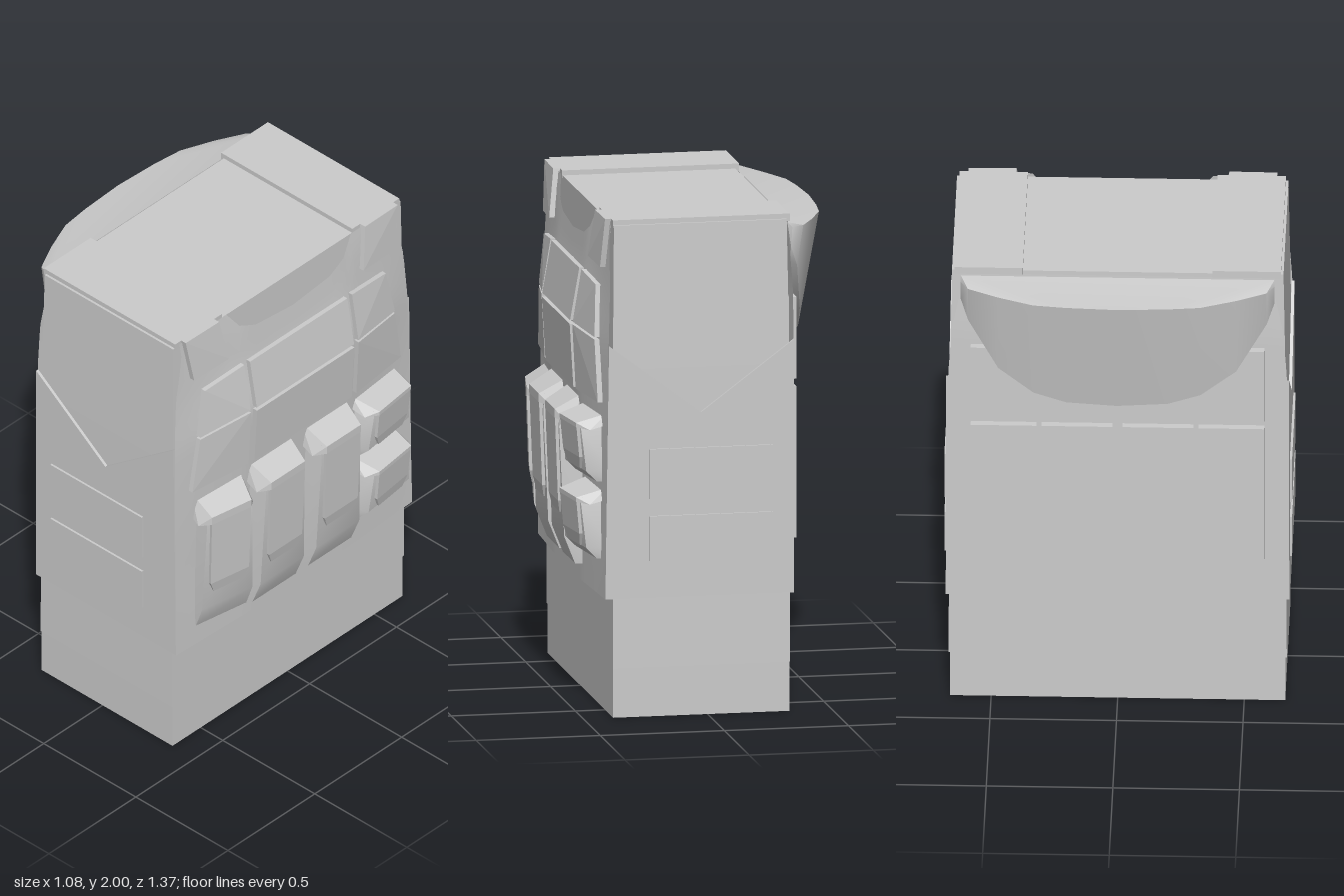
import * as THREE from 'three';
import { ConvexGeometry } from 'three/addons/geometries/ConvexGeometry.js';
import { toCreasedNormals } from 'three/addons/utils/BufferGeometryUtils.js';

const solid = new THREE.MeshStandardMaterial({ color: 0xcccccc });
const sheet = new THREE.MeshStandardMaterial({ color: 0xcccccc, side: THREE.DoubleSide });

// Piecewise-linear lookup in [[key, value], ...]
function table(t, k) {
  if (k <= t[0][0]) return t[0][1];
  for (let i = 1; i < t.length; i++) {
    const [a, va] = t[i - 1], [b, vb] = t[i];
    if (k <= b) return va + (vb - va) * (k - a) / (b - a);
  }
  return t[t.length - 1][1];
}

// Vest form: edge position, centre bulge, half width by height, and neckline by z
const EDGE = [[0.48, 0.415], [1.5, 0.4], [2, 0.38]];
const BULGE = [[0.48, 0.015], [0.9, 0.02], [1.25, 0.04], [1.52, 0.06], [1.74, 0.03], [1.9, 0.02], [2, 0.005]];
const WIDTH = [[0.48, 0.68], [1.5, 0.67], [1.72, 0.655], [1.92, 0.615], [2, 0.625]];
const NECK = [[0, 1.85], [0.23, 1.87], [0.33, 1.91], [0.39, 1.99], [0.68, 1.99]];

const frontX = (y, z) =>
  table(EDGE, y) + table(BULGE, y) * Math.min(1, Math.max(0, (0.66 - Math.abs(z)) / 0.38));
const backX = (y) => table([[0.48, -0.345], [1.7, -0.345], [2, -0.33]], y);

function add(parent, name, geometry, material = solid) {
  const mesh = new THREE.Mesh(geometry, material);
  mesh.name = name;
  parent.add(mesh);
  return mesh;
}

function box(parent, name, x0, x1, y0, y1, z0, z1) {
  const mesh = add(parent, name, new THREE.BoxGeometry(x1 - x0, y1 - y0, z1 - z0));
  mesh.position.set((x0 + x1) / 2, (y0 + y1) / 2, (z0 + z1) / 2);
  return mesh;
}

const hull = (points) => new ConvexGeometry(points.map((p) => new THREE.Vector3(...p)));

// Vest front or back: a sheet whose columns run from the hem to the top edge
function vestSheet(surface, top) {
  const cols = [0, 0.12, 0.23, 0.28, 0.33, 0.39, 0.5, 0.6, 0.68];
  const zs = [...cols.slice(1).reverse().map((z) => -z), ...cols];
  const rows = 24, n = zs.length;
  const geometry = new THREE.PlaneGeometry(1, 1, n - 1, rows);
  const pos = geometry.attributes.position;
  for (let r = 0; r <= rows; r++) {
    for (let c = 0; c < n; c++) {
      const y = 0.48 + (top(Math.abs(zs[c])) - 0.48) * (1 - r / rows);
      const z = -zs[c] * table(WIDTH, y) / 0.68;
      pos.setXYZ(r * n + c, surface(y, z), y, z);
    }
  }
  geometry.computeVertexNormals();
  return geometry;
}

// Thin plate that follows the vest front; corners are [z, y]
function frontPlate(parent, name, corners, thick, mirror = 1) {
  const points = [];
  for (const [z, y] of corners)
    for (const t of [-0.005, thick]) points.push([frontX(y, z) + t, y, z * mirror]);
  add(parent, name, hull(points));
}

// Pouch facing +x: tapered bag, sloping lid with ears, and a hanging flap
function pouch(parent, name, x, y, z, h, w, d, turn, flapEnd, drop) {
  const group = new THREE.Group();
  group.name = name;
  group.position.set(x, y, z);
  group.rotation.y = turn;
  parent.add(group);
  const level = (py, px, hw) => [[-0.02, py, -hw], [-0.02, py, hw], [px, py, -hw * 0.92], [px, py, hw * 0.92]];
  const bag = [
    ...level(0, d * 0.3, w * 0.5), ...level(h * 0.16, d * 0.7, w * 0.5),
    ...level(h * 0.8, d * 0.86, w * 0.45), ...level(h - drop, d * 0.8, w * 0.43)];
  add(group, name + 'Bag', toCreasedNormals(hull(bag), 0.5));

  const lid = [];
  for (const s of [-1, 1]) {
    lid.push([-0.01, h, s * w * 0.44], [-0.01, h - drop * 1.2, s * w * 0.5],
      [d, h - drop, s * w * 0.36], [d * 0.6, h - drop * 1.7, s * w * 0.5],
      [d, h - drop * 1.5, s * w * 0.36]);
  }
  add(group, name + 'Lid', hull(lid));

  const bottomX = d * 0.78, end = h * flapEnd, flap = [];
  for (const s of [-1, 1])
    for (const t of [0, -0.03])
      flap.push([d + t, h - drop, s * w * 0.36], [bottomX + 0.01 + t, end + 0.05, s * w * 0.35],
        [bottomX + t, end, s * w * 0.27]);
  add(group, name + 'Flap', hull(flap));
}

export function createModel() {
  const model = new THREE.Group();
  model.name = 'torsoVest';

  // Torso under the vest
  box(model, 'lowerTorso', -0.33, 0.38, 0, 0.2, -0.662, 0.662);
  const torso = [];
  for (const s of [-1, 1])
    torso.push([-0.33, 0.2, s * 0.668], [0.382, 0.2, s * 0.668],
      [-0.33, 1.4, s * 0.665], [0.382, 1.4, s * 0.665],
      [-0.32, 1.98, s * 0.655], [0.376, 1.98, s * 0.655]);
  add(model, 'torso', hull(torso));

  // Vest shell
  add(model, 'vestFront', vestSheet(frontX, (z) => table(NECK, z)), sheet);
  add(model, 'vestBack', vestSheet(backX, () => 1.97), sheet);
  box(model, 'hem', -0.344, 0.414, 0.48, 0.49, -0.678, 0.678);
  const sideShape = new THREE.Shape([
    [-0.345, 0.48], [0.415, 0.48], [0.4, 1.5], [0.03, 1.22], [-0.345, 1.5],
  ].map((p) => new THREE.Vector2(...p)));

  for (const s of [-1, 1]) {
    const side = add(model, 'vestSide',
      new THREE.ExtrudeGeometry(sideShape, { depth: 0.012, bevelEnabled: false }));
    side.position.z = s > 0 ? 0.666 : -0.678;

    // Side patches
    for (const [y0, y1] of [[0.63, 0.81], [0.88, 1.08]])
      box(model, 'sidePatch', -0.26, 0.237, y0, y1, s * 0.68 - 0.007, s * 0.68 + 0.007);

    // Shoulder straps and their front pads
    box(model, 'shoulderStrap', -0.335, 0.378, 1.97, 2, s * 0.51 - 0.135, s * 0.51 + 0.135);
    frontPlate(model, 'strapPad', [[0.42, 2], [0.61, 2], [0.575, 1.8], [0.387, 1.81]], 0.022, s);

    // Outer chest panels
    frontPlate(model, 'outerChestPanel', [[0.31, 1.74], [0.52, 1.72], [0.56, 1.515], [0.31, 1.53]], 0.02, s);
    frontPlate(model, 'outerChestPanel', [[0.31, 1.52], [0.56, 1.505], [0.6, 1.26], [0.31, 1.26]], 0.02, s);

    // Back panels
    for (const [z0, z1] of [[0.02, 0.3], [0.32, 0.58]])
      for (const [y0, y1] of [[0.68, 1.29], [1.32, 1.65]])
        box(model, 'backPanel', -0.374, -0.343, y0, y1, s > 0 ? z0 : -z1, s > 0 ? z1 : -z0);
  }

  // Centre chest panels
  for (const [y0, y1] of [[1.53, 1.74], [1.26, 1.515]])
    frontPlate(model, 'centreChestPanel', [[-0.28, y0], [0.28, y0], [0.28, y1], [-0.28, y1]], 0.02);

  // Tall pouches, the outer one turned with the chest
  pouch(model, 'tallPouch', 0.425, 0.55, 0.16, 0.69, 0.27, 0.11, 0, 0.29, 0.07);
  pouch(model, 'tallPouch', 0.425, 0.55, -0.16, 0.69, 0.27, 0.11, 0, 0.29, 0.07);
  pouch(model, 'tallPouch', 0.41, 0.57, 0.44, 0.64, 0.27, 0.1, -0.17, 0.28, 0.07);

  // Small stacked pouches
  for (const [y, h] of [[0.94, 0.27], [0.63, 0.28]])
    pouch(model, 'smallPouch', 0.415, y, -0.455, h, 0.29, 0.11, 0.12, 0.17, 0.035);

  // Folded hood hanging behind the neck
  const hood = [];
  const stations = [ // z, rim x, bottom x, bottom y
    [0, -0.54, -0.44, 1.43], [0.2, -0.53, -0.435, 1.44], [0.33, -0.515, -0.43, 1.48],
    [0.47, -0.46, -0.41, 1.58], [0.59, -0.4, -0.375, 1.78], [0.62, -0.35, -0.345, 1.86]];
  for (const [z, rim, bx, by] of stations)
    for (const s of [-1, 1])
      hood.push([-0.33, 1.96, s * z], [rim, 1.94, s * z], [bx, by, s * z], [-0.345, by + 0.02, s * z]);
  add(model, 'hood', toCreasedNormals(hull(hood), 0.7));

  return model;
}
